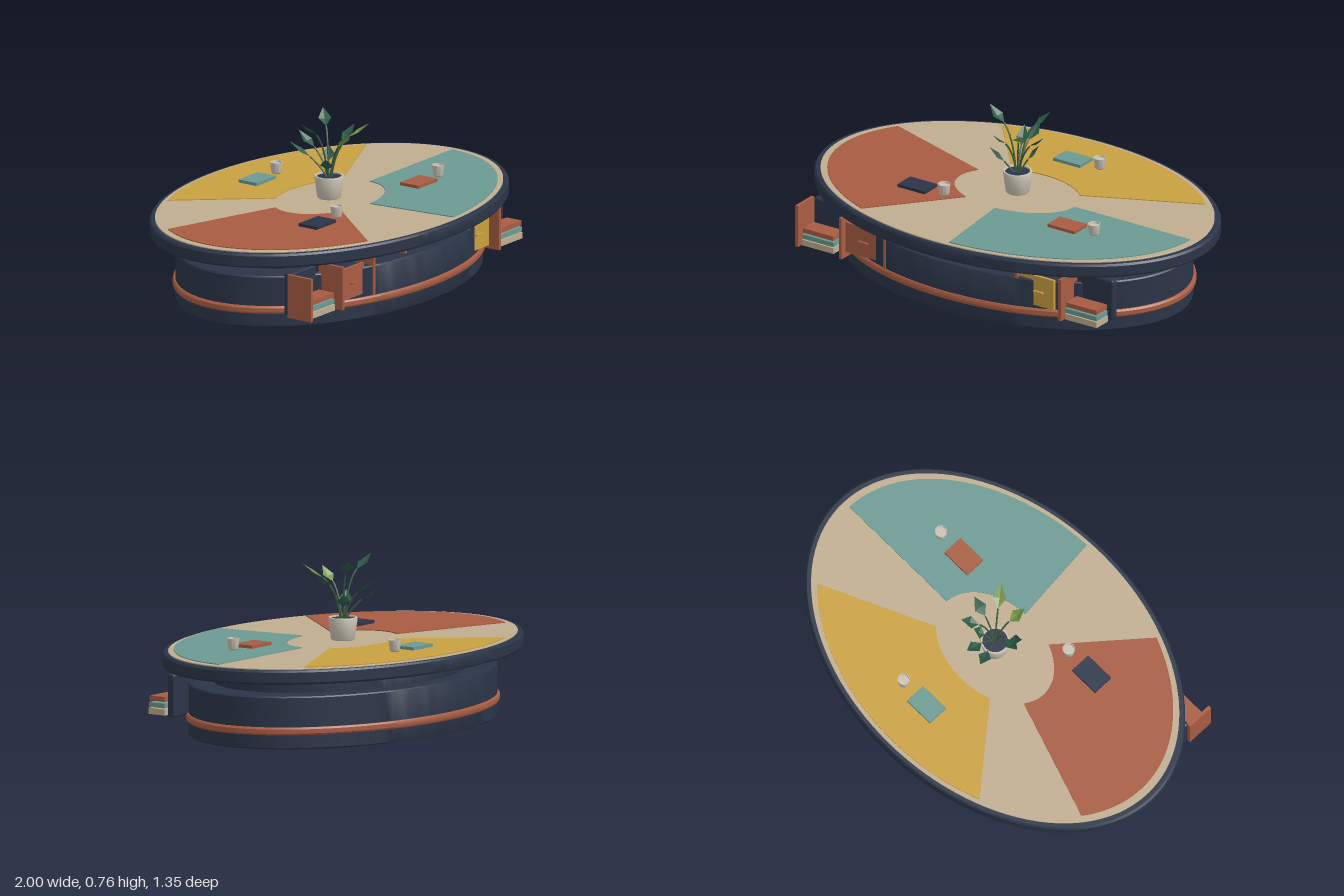
import * as THREE from 'three';
import { toCreasedNormals } from 'three/addons/utils/BufferGeometryUtils.js';
import { RoundedBoxGeometry } from 'three/addons/geometries/RoundedBoxGeometry.js';

const material = (name, color, side = THREE.FrontSide) => {
  const m = new THREE.MeshStandardMaterial({ color, side });
  m.name = name;
  return m;
};

export function createModel() {
  const navy = material('navy', 0x2b3548);
  const terracotta = material('terracotta', 0xa85c42);
  const sand = material('sand', 0xc0ad90);
  const teal = material('teal', 0x6b9a92);
  const mustard = material('mustard', 0xc9a040);
  const cream = material('cream', 0xcac2b4);
  const darkLeaf = material('dark leaf green', 0x2c5b47, THREE.DoubleSide);
  const oliveLeaf = material('olive leaf green', 0x7c9a4c, THREE.DoubleSide);
  const stemGreen = material('stem green', 0x3f6045);

  const model = new THREE.Group();
  model.name = 'ovalTable';

  const add = (name, geometry, mat, x = 0, y = 0, z = 0, parent = model) => {
    const mesh = new THREE.Mesh(geometry, mat);
    mesh.name = name;
    mesh.position.set(x, y, z);
    parent.add(mesh);
    return mesh;
  };
  const group = (name, x = 0, y = 0, z = 0) => {
    const g = new THREE.Group();
    g.name = name;
    g.position.set(x, y, z);
    model.add(g);
    return g;
  };
  const lathe = (points, segments) =>
    toCreasedNormals(new THREE.LatheGeometry(points.map(p => new THREE.Vector2(...p)), segments), 0.6);

  // Elliptical slab with a small bevel b
  const slab = (name, rx, rz, y0, y1, b, mat) => {
    const geo = new THREE.LatheGeometry([
      [0, y0], [rx - b, y0], [rx, y0 + b], [rx, y1 - b], [rx - b, y1], [0, y1],
    ].map(p => new THREE.Vector2(...p)), 112);
    geo.scale(1, 1, rz / rx);
    return add(name, toCreasedNormals(geo, 0.6), mat);
  };

  // Base, trim, neck and top
  slab('base', 0.87, 0.567, 0, 0.238, 0.006, navy);
  slab('baseTrim', 0.885, 0.577, 0.065, 0.1, 0.008, terracotta);
  slab('neck', 0.735, 0.478, 0.2, 0.315, 0.002, navy);
  slab('tableTop', 1, 0.677, 0.31, 0.374, 0.009, navy);
  slab('topInlay', 0.97, 0.655, 0.365, 0.379, 0.001, sand);

  // Coloured sectors on the top, each 1.5 radians of the ellipse
  const sector = (name, start, mat) => {
    const points = [];
    const n = 32;
    const arc = (rx, rz, i) => {
      const t = start + 1.5 * i / n;
      points.push(new THREE.Vector2(rx * Math.cos(t), -rz * Math.sin(t)));
    };
    for (let i = 0; i <= n; i++) arc(0.935, 0.637, i);
    for (let i = n; i >= 0; i--) arc(0.31, 0.211, i);
    const geo = new THREE.ExtrudeGeometry(new THREE.Shape(points), { depth: 0.004, bevelEnabled: false });
    geo.rotateX(-Math.PI / 2);
    add(name, geo, mat, 0, 0.379, 0);
  };
  sector('tealSector', 0, teal);
  sector('terracottaSector', Math.PI * 2 / 3, terracotta);
  sector('mustardSector', Math.PI * 4 / 3, mustard);

  // Row of seven storage bays along the front
  const books = [[0.107, 0.028, sand], [0.136, 0.022, teal], [0.165, 0.022, terracotta]];
  const doors = { 1: terracotta, 3: teal, 5: mustard };
  for (let i = 0; i < 7; i++) {
    const bay = group('storageBay', -0.843 + 0.238 * i);
    add('upright', new THREE.BoxGeometry(0.015, 0.2, 0.13), terracotta, 0, 0.185, 0.453, bay);
    add('backPanel', new RoundedBoxGeometry(0.196, 0.194, 0.038, 2, 0.01), navy, 0.105, 0.187, 0.375, bay);
    if (i === 0 || i === 6) {
      books.forEach(([y, h, mat], k) =>
        add('book', new THREE.BoxGeometry(0.172 - 0.004 * k, h, 0.09 - 0.003 * k), mat, 0.106, y, 0.46, bay));
    }
    if (doors[i]) {
      add('door', new THREE.BoxGeometry(0.178, 0.144, 0.014), doors[i], 0.1, 0.187, 0.487, bay);
      add('doorHandle', new THREE.BoxGeometry(0.05, 0.008, 0.012), doors[i], 0.11, 0.185, 0.5, bay);
    }
  }

  // Notebooks and cups, one pair per sector
  const cupGeo = lathe([[0, 0], [0.018, 0], [0.023, 0.006], [0.028, 0.053], [0.025, 0.053], [0.023, 0.044], [0, 0.044]], 24);
  [[-0.392, 0.22, navy], [0.407, 0.2, terracotta], [0.018, -0.41, teal]].forEach(([x, z, mat]) => {
    const set = group('placeSetting', x, 0.383, z);
    add('notebook', new THREE.BoxGeometry(0.146, 0.014, 0.1), mat, 0, 0.007, 0, set);
    add('cup', cupGeo, cream, 0.146, 0, 0, set);
  });

  // Potted plant
  const plant = group('pottedPlant');
  add('pot', lathe([[0, 0.38], [0.05, 0.38], [0.054, 0.386], [0.066, 0.478], [0.064, 0.483],
    [0.057, 0.483], [0.056, 0.47], [0, 0.47]], 32), cream, 0, 0, 0, plant);
  add('soil', new THREE.CylinderGeometry(0.057, 0.056, 0.006, 32), navy, 0, 0.473, 0, plant);

  // Folded leaf between a base point and a tip: two halves meeting at a lowered midrib
  const leafGeometry = (base, tip, width) => {
    const dir = tip.clone().sub(base);
    const side = new THREE.Vector3(-dir.z, 0, dir.x).normalize().multiplyScalar(width / 2);
    const up = side.clone().cross(dir).normalize();
    if (up.y < 0) up.negate();
    const mid = base.clone().addScaledVector(dir, 0.42);
    const rib = mid.clone().addScaledVector(up, -0.009);
    const a = mid.clone().add(side), b = mid.clone().sub(side);
    const corners = [base, a, rib, a, tip, rib, base, rib, b, rib, tip, b];
    const geo = new THREE.BufferGeometry().setFromPoints(corners);
    geo.computeVertexNormals();
    // Face the halves upwards
    if (geo.attributes.normal.getY(0) < 0) {
      geo.setFromPoints(corners.map((_, i) => corners[i - i % 3 + (2 - i % 3)]));
      geo.computeVertexNormals();
    }
    return geo;
  };
  // Tip x, y, z and leaf colour
  const leaves = [
    [-0.172, 0.755, -0.03, darkLeaf], [-0.075, 0.63, -0.165, darkLeaf],
    [0.005, 0.665, -0.172, darkLeaf], [0.105, 0.757, -0.11, darkLeaf],
    [0.16, 0.69, 0.025, darkLeaf], [0.11, 0.725, 0.145, oliveLeaf],
    [-0.04, 0.7, 0.145, oliveLeaf], [-0.11, 0.59, 0.06, darkLeaf],
    [0.075, 0.6, -0.06, darkLeaf],
  ];
  leaves.forEach(([x, y, z, mat]) => {
    const tip = new THREE.Vector3(x, y, z);
    const base = new THREE.Vector3(x * 0.48, y - 0.065, z * 0.48);
    const root = new THREE.Vector3(x * 0.06, 0.47, z * 0.06);
    const bend = new THREE.Vector3(x * 0.14, y - 0.12, z * 0.14);
    const curve = new THREE.QuadraticBezierCurve3(root, bend, base);
    add('stem', new THREE.TubeGeometry(curve, 8, 0.004, 6), stemGreen, 0, 0, 0, plant);
    add('leaf', leafGeometry(base, tip, 0.06), mat, 0, 0, 0, plant);
  });

  return model;
}
